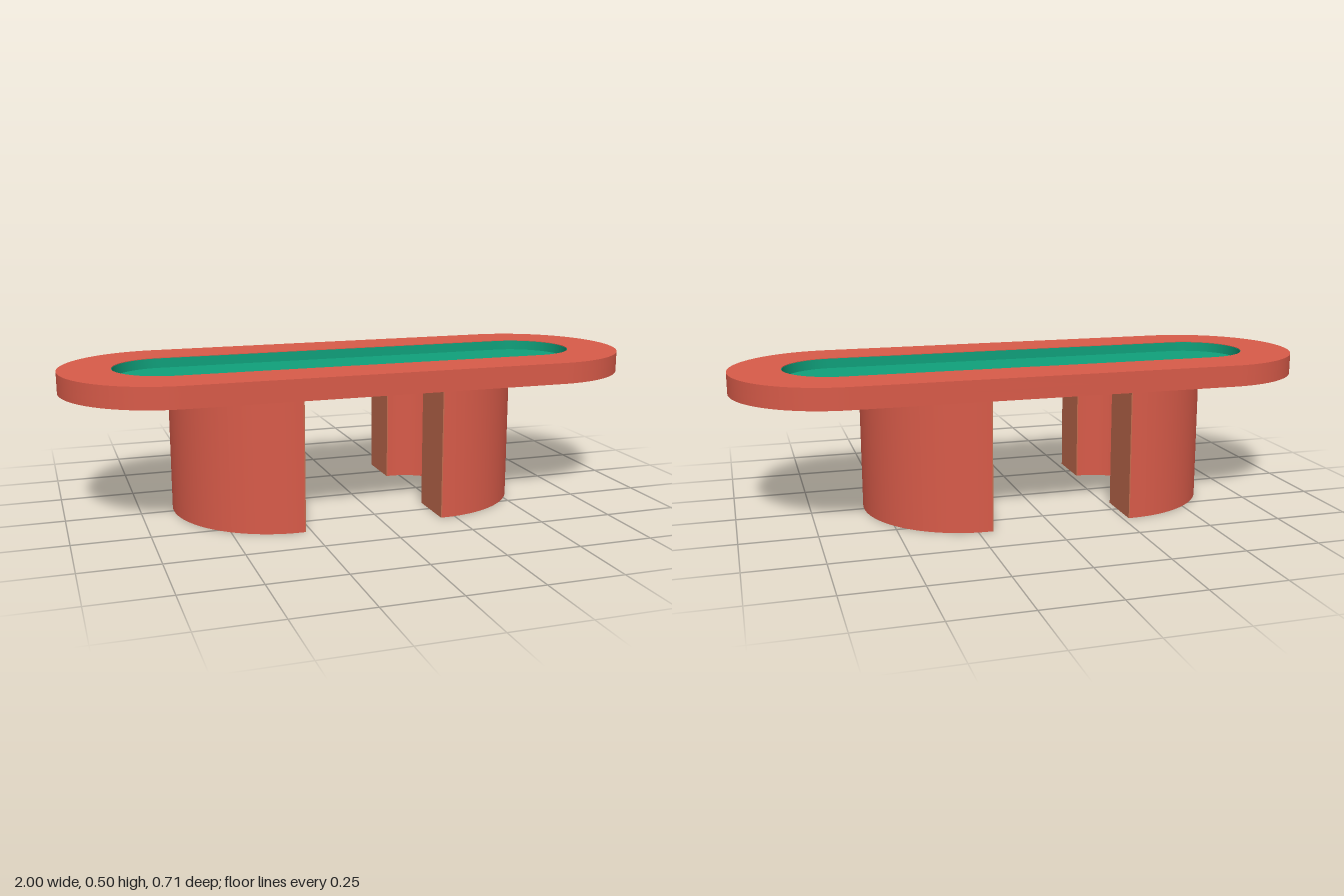
import * as THREE from 'three';
import { toCreasedNormals } from 'three/addons/utils/BufferGeometryUtils.js';

const HALF = 0.645;   // half length of the straight run
const R = 0.355;      // outer radius of table and legs
const r = 0.178;      // inner radius of recess and legs

// Stadium outline centred on the origin
function stadium(radius, Type = THREE.Shape) {
  const s = new Type();
  s.moveTo(-HALF, -radius);
  s.lineTo(HALF, -radius);
  s.absarc(HALF, 0, radius, -Math.PI / 2, Math.PI / 2, false);
  s.lineTo(-HALF, radius);
  s.absarc(-HALF, 0, radius, Math.PI / 2, Math.PI * 1.5, false);
  return s;
}

// Half ring opening toward +x, with short straight ends
function halfRing(outer, inner, end) {
  const s = new THREE.Shape();
  s.moveTo(end, -outer);
  s.lineTo(0, -outer);
  s.absarc(0, 0, outer, -Math.PI / 2, -Math.PI * 1.5, true);
  s.lineTo(end, outer);
  s.lineTo(end, inner);
  s.lineTo(0, inner);
  s.absarc(0, 0, inner, Math.PI / 2, Math.PI * 1.5, false);
  s.lineTo(end, -inner);
  s.closePath();
  return s;
}

// Extrude a plan shape upward from y0 to y1
function slab(name, shape, y0, y1, material) {
  const g = new THREE.ExtrudeGeometry(shape, { depth: y1 - y0, bevelEnabled: false, curveSegments: 48 });
  g.rotateX(-Math.PI / 2);
  g.translate(0, y0, 0);
  const mesh = new THREE.Mesh(toCreasedNormals(g, 0.5), material);
  mesh.name = name;
  return mesh;
}

function box(name, w, h, d, x, y, z, material) {
  const mesh = new THREE.Mesh(new THREE.BoxGeometry(w, h, d), material);
  mesh.position.set(x, y, z);
  mesh.name = name;
  return mesh;
}

export function createModel() {
  const red = new THREE.MeshStandardMaterial({ color: 0xd85b49 });
  red.name = 'coral red';
  const green = new THREE.MeshStandardMaterial({ color: 0x10a07b });
  green.name = 'green';
  const tan = new THREE.MeshStandardMaterial({ color: 0xc56c4f });
  tan.name = 'tan';

  const model = new THREE.Group();
  model.name = 'table';

  // Red top surround and the thin rim that hangs below it
  const surround = stadium(R);
  surround.holes.push(stadium(r + 0.002, THREE.Path));
  model.add(slab('topSurround', surround, 0.466, 0.502, red));
  const rim = stadium(R);
  rim.holes.push(stadium(R - 0.02, THREE.Path));
  model.add(slab('rim', rim, 0.43, 0.466, red));

  // Green panel, seen in the recess and from below, and the recess lining
  model.add(slab('panel', stadium(R - 0.02), 0.456, 0.467, green));
  const lining = stadium(r + 0.002);
  lining.holes.push(stadium(r, THREE.Path));
  model.add(slab('recessLining', lining, 0.467, 0.5, green));

  for (const side of [-1, 1]) {
    const turn = side < 0 ? 0 : Math.PI;

    // Half-pipe legs with tan cut faces
    const leg = new THREE.Group();
    leg.name = side < 0 ? 'rightLeg' : 'leftLeg';
    leg.add(slab('legShell', halfRing(R, r, 0.011), 0, 0.456, red));
    for (const z of [-1, 1]) {
      leg.add(box('cutFace', 0.004, 0.43, R - r, 0.013, 0.215, z * (R + r) / 2, tan));
    }
    leg.position.x = side < 0 ? -0.285 : 0.215;
    leg.rotation.y = turn;
    model.add(leg);

    // Underside ribs: a red arc with green square corners around it
    const ribs = new THREE.Group();
    ribs.name = 'undersideRibs';
    ribs.add(slab('arcRib', halfRing(0.192, 0.178, 0.001), 0.436, 0.456, red));
    for (const z of [-1, 1]) {
      ribs.add(box('cornerRib', 0.1, 0.022, 0.01, -0.14, 0.445, z * 0.185, green));
      ribs.add(box('cornerRib', 0.01, 0.022, 0.1, -0.185, 0.445, z * 0.14, green));
    }
    ribs.position.x = side * HALF;
    ribs.rotation.y = turn;
    model.add(ribs);
  }
  return model;
}
